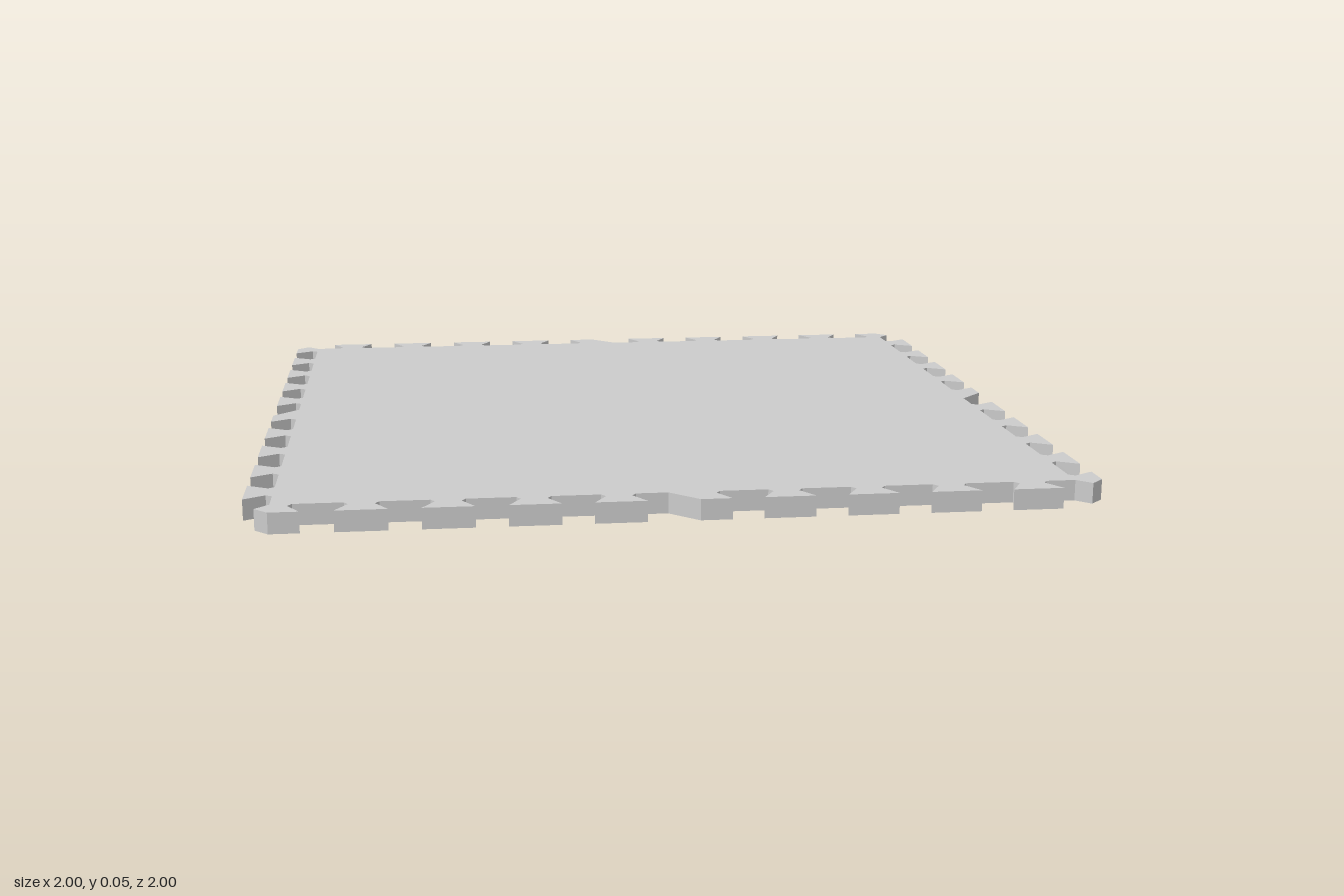
import * as THREE from 'three';

const OUTER = 1, INNER = 0.935, NECK = 0.95, THICKNESS = 0.05;

// One edge of the tile, left to right, as [along, outward] points
function edgeProfile() {
  const pts = [];
  const riseTo = (u) => pts.push([u + 0.02, INNER], [u + 0.03, NECK], [u, OUTER]);
  const fallFrom = (u) => pts.push([u, OUTER], [u - 0.03, NECK], [u - 0.02, INNER]);
  const tooth = (u) => { riseTo(u); fallFrom(u + 0.12); };

  // corner hook
  pts.push([-0.967, 0.967], [-0.935, OUTER]);
  fallFrom(-0.865);
  // teeth of the first half
  for (let i = 0; i < 4; i++) tooth(-0.79 + i * 0.194);
  // slanted tooth in the middle
  pts.push([-0.033, INNER], [0.033, OUTER]);
  fallFrom(0.107);
  // teeth of the second half
  for (let i = 0; i < 4; i++) tooth(0.18 + i * 0.195);
  // inner corner of the body
  pts.push([INNER, INNER]);
  return pts;
}

export function createModel() {
  const group = new THREE.Group();
  group.name = 'interlockingFloorMat';

  // The same edge turned four times closes the outline
  const outline = [];
  const edge = edgeProfile();
  const center = new THREE.Vector2();
  for (let side = 0; side < 4; side++) {
    for (const [u, d] of edge) {
      outline.push(new THREE.Vector2(u, -d).rotateAround(center, side * Math.PI / 2));
    }
  }

  const geometry = new THREE.ExtrudeGeometry(new THREE.Shape(outline), {
    depth: THICKNESS, bevelEnabled: false,
  });
  geometry.rotateX(-Math.PI / 2);

  const mat = new THREE.Mesh(geometry, new THREE.MeshStandardMaterial({ color: 0xcccccc, flatShading: true }));
  mat.name = 'matTile';
  group.add(mat);
  return group;
}
